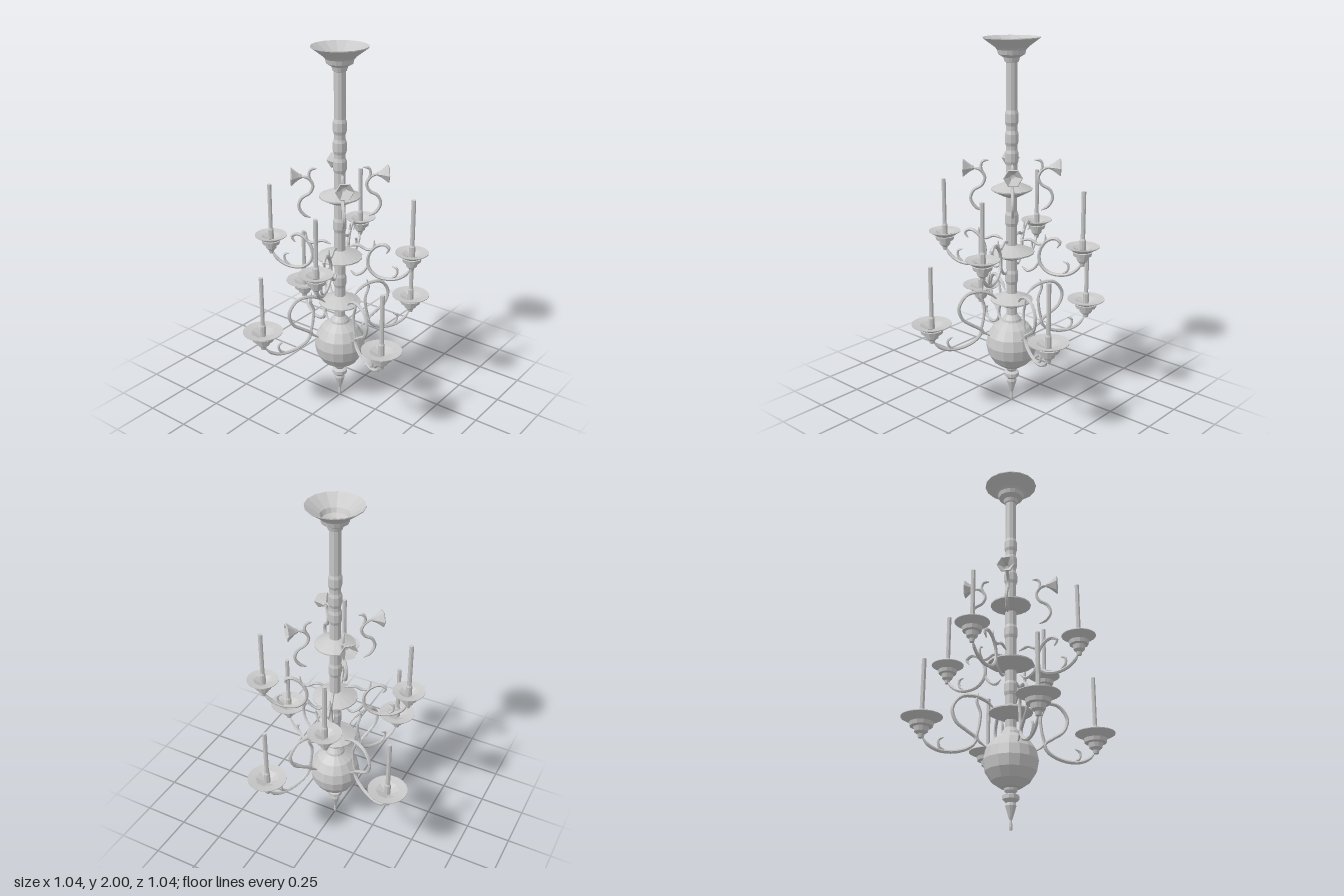
import * as THREE from 'three';

const metal = new THREE.MeshStandardMaterial({ color: 0xc8c8c8, flatShading: true, side: THREE.DoubleSide });
metal.name = 'light grey metal';

function lathe(name, points, sides) {
  const geometry = new THREE.LatheGeometry(points.map(([r, y]) => new THREE.Vector2(r, y)), sides);
  const mesh = new THREE.Mesh(geometry, metal);
  mesh.name = name;
  return mesh;
}

// Curved bar lying in the radial plane: points are [radius, height]
function bar(name, points, thickness) {
  const curve = new THREE.CatmullRomCurve3(points.map(([r, y]) => new THREE.Vector3(r, y, 0)));
  const mesh = new THREE.Mesh(new THREE.TubeGeometry(curve, points.length * 4, thickness, 6), metal);
  mesh.name = name;
  // Taper both ends to a narrow tip
  const p = mesh.geometry.attributes.position, rings = points.length * 4, v = new THREE.Vector3();
  for (let i = 0; i <= rings; i++) {
    const c = curve.getPointAt(i / rings);
    const k = Math.min(1, 0.35 + 0.2 * Math.min(i, rings - i));
    for (let j = 0; j < 7; j++) {
      v.fromBufferAttribute(p, i * 7 + j).sub(c).multiplyScalar(k).add(c);
      p.setXYZ(i * 7 + j, v.x, v.y, v.z);
    }
  }
  return mesh;
}

// Drip dish with stepped cup and candle, origin at the dish rim
function candleHolder(s, candleTop) {
  const holder = new THREE.Group();
  holder.name = 'candleHolder';
  const scaled = (points) => points.map(([r, y]) => [r * s, y]);
  holder.add(lathe('dripDish', scaled([[0.055, -0.03], [0.106, -0.004], [0.106, 0], [0.06, -0.008]]), 20));
  holder.add(lathe('dishBowl', scaled([[0.064, -0.007], [0.014, -0.03], [0, -0.03]]), 8));
  holder.add(lathe('cup', scaled([[0, -0.115], [0.014, -0.11], [0.018, -0.092], [0.034, -0.08], [0.04, -0.056],
    [0.058, -0.052], [0.063, -0.032], [0, -0.031]]), 12));
  holder.add(lathe('candle', [[0.017, -0.03], [0.017, 0.03], [0.012, 0.04], [0.012, candleTop], [0, candleTop]], 8));
  return holder;
}

function lowerArm() {
  const arm = new THREE.Group();
  arm.name = 'lowerArm';
  arm.add(bar('armScroll', [[0.09, 0.62], [0.13, 0.655], [0.19, 0.675], [0.26, 0.665], [0.305, 0.6], [0.285, 0.53],
    [0.225, 0.485], [0.18, 0.45], [0.2, 0.41], [0.27, 0.375], [0.36, 0.37], [0.42, 0.395], [0.455, 0.435]], 0.0095));
  arm.add(bar('innerScroll', [[0.13, 0.41], [0.175, 0.45], [0.165, 0.52], [0.16, 0.59], [0.18, 0.65], [0.17, 0.695]], 0.008));
  arm.add(bar('leafCurl', [[0.33, 0.37], [0.365, 0.39], [0.37, 0.425], [0.345, 0.44]], 0.007));
  const holder = candleHolder(1, 0.312);
  holder.position.set(0.459, 0.537, 0);
  arm.add(holder);
  return arm;
}

function upperArm() {
  const arm = new THREE.Group();
  arm.name = 'upperArm';
  arm.add(bar('armScroll', [[0.255, 0.925], [0.272, 0.955], [0.24, 0.975], [0.19, 0.95], [0.157, 0.89], [0.162, 0.83],
    [0.205, 0.787], [0.275, 0.777], [0.335, 0.795], [0.375, 0.83], [0.39, 0.86]], 0.0095));
  arm.add(bar('hubScroll', [[0.05, 0.94], [0.1, 0.955], [0.15, 0.935], [0.185, 0.945], [0.19, 0.99]], 0.008));
  arm.add(bar('lowerHubScroll', [[0.06, 0.8], [0.09, 0.78], [0.13, 0.8], [0.162, 0.85]], 0.008));
  arm.add(bar('leafCurl', [[0.28, 0.78], [0.315, 0.81], [0.315, 0.845], [0.29, 0.855]], 0.007));
  const holder = candleHolder(0.83, 0.29);
  holder.position.set(0.394, 0.952, 0);
  arm.add(holder);
  return arm;
}

function flowerArm() {
  const arm = new THREE.Group();
  arm.name = 'flowerArm';
  arm.add(bar('flowerStem', [[0.155, 1.105], [0.19, 1.125], [0.215, 1.17], [0.2, 1.215], [0.155, 1.245],
    [0.14, 1.285], [0.165, 1.325], [0.205, 1.335]], 0.009));
  arm.add(bar('stemCurl', [[0.145, 1.3], [0.16, 1.34], [0.15, 1.37], [0.12, 1.375]], 0.008));
  // Six-sided flared trumpet facing outwards, with a deep throat
  const flower = lathe('flower', [[0, 0], [0.01, 0], [0.018, 0.018], [0.03, 0.034], [0.049, 0.056],
    [0.045, 0.061], [0.024, 0.04], [0.012, 0.018], [0, 0.016]], 6);
  flower.position.set(0.195, 1.335, 0);
  flower.rotation.z = -Math.PI / 2;
  arm.add(flower);
  return arm;
}

export function createModel() {
  const model = new THREE.Group();
  model.name = 'chandelier';

  // Open central shaft with ring joints
  const shaft = [[0.03, 0.46]];
  for (const y of [0.735, 1.06, 1.39, 1.49, 1.595])
    shaft.push([0.03, y - 0.04], [0.036, y - 0.022], [0.036, y + 0.022], [0.03, y + 0.04]);
  shaft.push([0.03, 1.915]);
  model.add(lathe('shaft', shaft, 10));

  // Ceiling canopy, hollow from above
  model.add(lathe('canopy', [[0.03, 1.875], [0.036, 1.878], [0.042, 1.9], [0.068, 1.915], [0.074, 1.938], [0.085, 1.95],
    [0.146, 1.995], [0.146, 2], [0.073, 1.952], [0.062, 1.93], [0.03, 1.915]], 16));

  // Hub plates
  for (const [y, r] of [[0.603, 0.115], [0.875, 0.122], [1.22, 0.109]])
    model.add(lathe('hubPlate', [[0.03, y - 0.042], [0.05, y - 0.034], [r, y - 0.003], [r, y + 0.004],
      [0.055, y + 0.03], [0.03, y + 0.04]], 16));

  // Ball with a lidded top
  const ball = [];
  for (let i = 0; i <= 7; i++) {
    const a = -Math.PI / 2 + (i / 8) * Math.PI;
    ball.push([Math.max(0, 0.141 * Math.cos(a)), 0.347 + 0.147 * Math.sin(a)]);
  }
  ball.push([0.05, 0.495], [0.03, 0.52]);
  model.add(lathe('ball', ball, 16));

  // Bottom finial
  model.add(lathe('finial', [[0, 0], [0.007, 0.003], [0.009, 0.015], [0.006, 0.05], [0.012, 0.065], [0.028, 0.12],
    [0.024, 0.135], [0.042, 0.152], [0.042, 0.172], [0.022, 0.18], [0.033, 0.195], [0.036, 0.215]], 10));

  // Three tiers, each with four arms
  for (const [build, degrees] of [[lowerArm, -25.2], [upperArm, 20], [flowerArm, 42.8]])
    for (let i = 0; i < 4; i++) {
      const arm = build();
      arm.rotation.y = THREE.MathUtils.degToRad(degrees + i * 90);
      model.add(arm);
    }
  return model;
}
